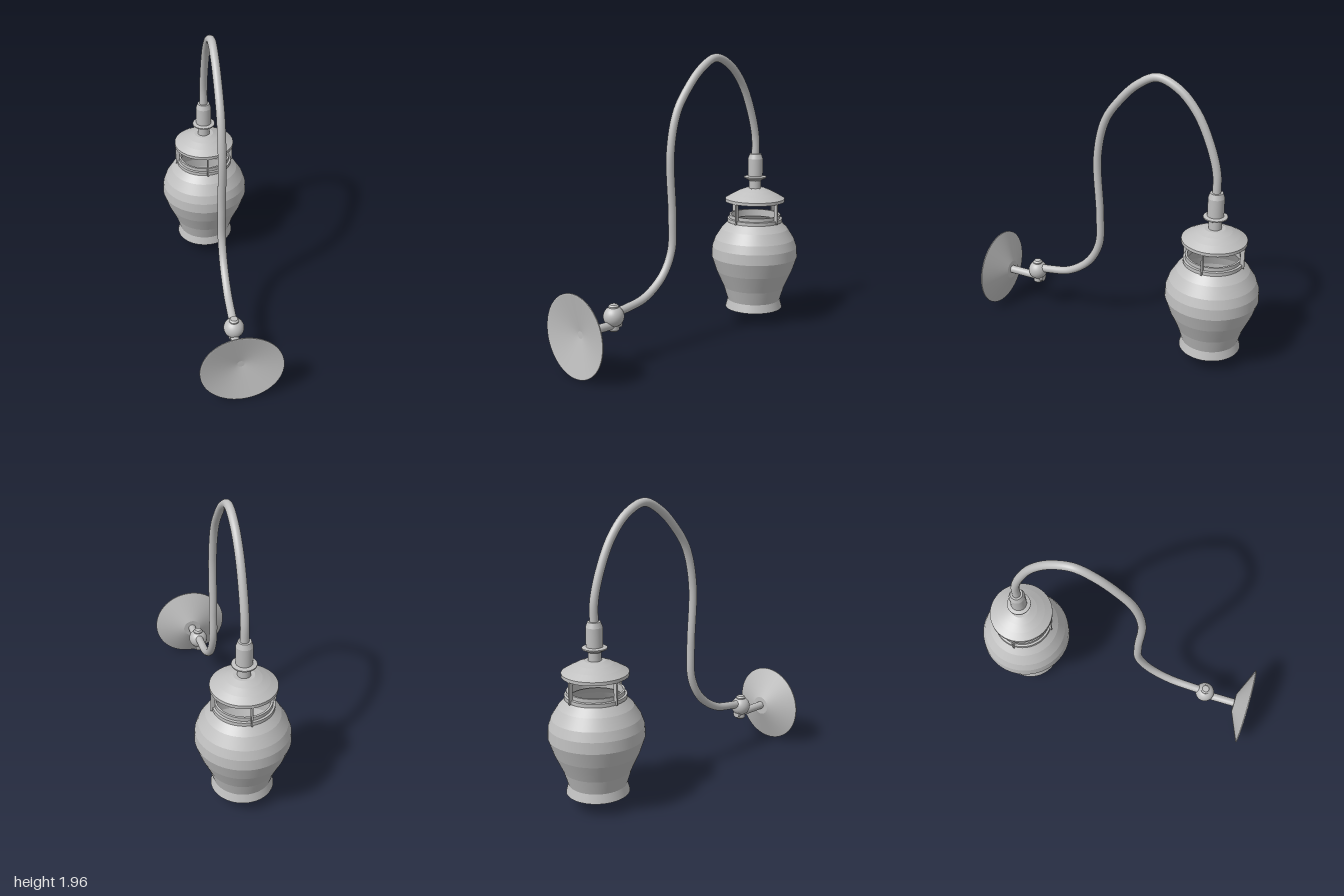
import * as THREE from 'three';

const metal = new THREE.MeshStandardMaterial({ color: 0xbfbfbf });
metal.name = 'grey metal';

const LAMP_Z = -0.685;

function add(parent, name, geometry, x = 0, y = 0, z = 0) {
  const mesh = new THREE.Mesh(geometry, metal);
  mesh.name = name;
  mesh.position.set(x, y, z);
  parent.add(mesh);
  return mesh;
}

// Turned part: inner profile points are doubled so every band keeps a sharp edge
function turned(profile, segments = 64) {
  const points = [];
  profile.forEach(([r, y], i) => {
    points.push(new THREE.Vector2(r, y));
    if (i > 0 && i < profile.length - 1) points.push(new THREE.Vector2(r, y));
  });
  return new THREE.LatheGeometry(points, segments);
}

export function createModel() {
  const model = new THREE.Group();
  model.name = 'wallLamp';

  // Wall plate: shallow hollow cone facing +z
  const plate = add(model, 'wallPlate', turned([
    [0, 0.905], [0.065, 0.905], [0.272, 0.993], [0.272, 1.0], [0.265, 1.0], [0, 0.945],
  ]), 0, 0.272, 0);
  plate.rotation.x = Math.PI / 2;

  // Short rod from the plate to the joint
  const rod = add(model, 'mountRod', new THREE.CylinderGeometry(0.028, 0.028, 0.32, 32), 0, 0.275, 0.79);
  rod.rotation.x = Math.PI / 2;

  // Ball joint with a knob above and a nut below
  const joint = new THREE.Group();
  joint.name = 'joint';
  joint.position.set(0, 0.33, 0.678);
  model.add(joint);
  add(joint, 'ball', new THREE.SphereGeometry(0.068, 32, 20));
  add(joint, 'topKnob', turned([
    [0, 0.05], [0.032, 0.05], [0.034, 0.068], [0.024, 0.079], [0, 0.08],
  ], 32));
  add(joint, 'bottomNut', turned([
    [0, -0.097], [0.026, -0.097], [0.034, -0.088], [0.034, -0.05], [0, -0.05],
  ], 32));

  // Gooseneck arm, given as [z, y]
  const path = [
    [0.66, 0.35], [0.57, 0.36], [0.41, 0.395], [0.25, 0.51], [0.165, 0.67], [0.155, 0.9],
    [0.17, 1.33], [0.11, 1.59], [0, 1.75], [-0.125, 1.87], [-0.26, 1.934], [-0.405, 1.88],
    [-0.53, 1.75], [-0.625, 1.56], [-0.68, 1.37], [LAMP_Z, 1.22],
  ].map(([z, y]) => new THREE.Vector3(0, y, z));
  add(model, 'gooseneck', new THREE.TubeGeometry(new THREE.CatmullRomCurve3(path), 140, 0.028, 20));

  const lamp = new THREE.Group();
  lamp.name = 'lampHead';
  lamp.position.z = LAMP_Z;
  model.add(lamp);

  // Socket, flange and neck
  add(lamp, 'socket', turned([
    [0, 0.97], [0.043, 0.97], [0.043, 1.045], [0.08, 1.066], [0.08, 1.074], [0.054, 1.08],
    [0.054, 1.205], [0.042, 1.24], [0, 1.24],
  ], 48));

  // Vent cap
  add(lamp, 'cap', turned([
    [0, 0.893], [0.215, 0.893], [0.215, 0.915], [0.165, 0.945], [0.115, 0.971],
    [0.068, 0.99], [0, 0.99],
  ]));

  // Four thin struts carrying the cap
  for (let i = 0; i < 4; i++) {
    const a = (i * Math.PI) / 2;
    const strut = add(lamp, 'strut', new THREE.BoxGeometry(0.028, 0.155, 0.01),
      0.198 * Math.cos(a), 0.822, 0.198 * Math.sin(a));
    strut.rotation.y = -a;
  }

  // Collar: two stepped open rings
  add(lamp, 'collar', turned([
    [0.172, 0.745], [0.2, 0.745], [0.2, 0.769], [0.186, 0.772], [0.186, 0.797],
    [0.172, 0.797], [0.172, 0.745],
  ]));

  // Urn-shaped shade with a thin wall, open at both ends
  const outer = [
    [0.208, 0.1], [0.192, 0.16], [0.222, 0.257], [0.278, 0.38], [0.313, 0.485],
    [0.309, 0.56], [0.288, 0.62], [0.242, 0.693], [0.188, 0.748],
  ];
  const inner = outer.map(([r, y]) => [r - 0.012, y]).reverse();
  add(lamp, 'shade', turned([...outer, ...inner, outer[0]]));

  return model;
}
